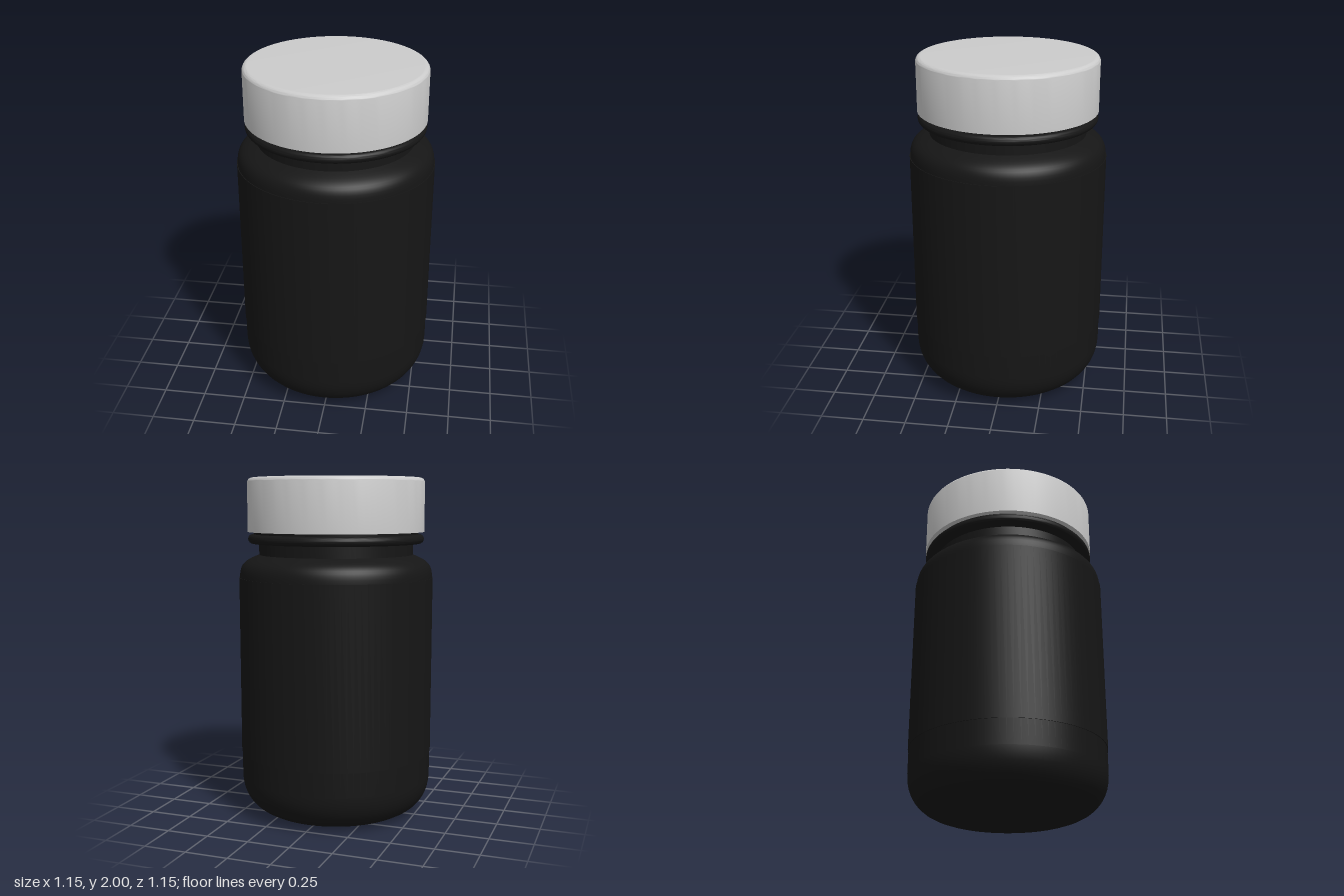
import * as THREE from 'three';
import { toCreasedNormals } from 'three/addons/utils/BufferGeometryUtils.js';

const SEGMENTS = 96;

// Revolve a profile path, keeping its corners crisp and its curves smooth
function revolve(name, path, material) {
  const lathe = new THREE.LatheGeometry(path.getPoints(10), SEGMENTS);
  const mesh = new THREE.Mesh(toCreasedNormals(lathe, 0.5), material);
  mesh.name = name;
  return mesh;
}

export function createModel() {
  const dark = new THREE.MeshStandardMaterial({ color: 0x161616 });
  const grey = new THREE.MeshStandardMaterial({ color: 0xcccccc });
  const jar = new THREE.Group();
  jar.name = 'jar';

  // Body: flat base, broad bottom curve, straight wall, rounded shoulder
  const body = new THREE.Path();
  body.moveTo(0, 0);
  body.lineTo(0.33, 0);
  body.bezierCurveTo(0.48, 0, 0.57, 0.09, 0.57, 0.23);
  body.lineTo(0.57, 1.42);
  body.bezierCurveTo(0.57, 1.5, 0.54, 1.52, 0.455, 1.553);
  jar.add(revolve('body', body, dark));

  // Label sleeve: a thin raised band around the wall
  const sleeve = new THREE.Path();
  sleeve.moveTo(0.569, 0.375);
  sleeve.lineTo(0.574, 0.375);
  sleeve.lineTo(0.574, 1.42);
  sleeve.lineTo(0.569, 1.42);
  jar.add(revolve('labelSleeve', sleeve, dark));

  // Neck, running up inside the lid
  const neck = new THREE.Path();
  neck.moveTo(0.455, 1.55);
  neck.lineTo(0.455, 1.64);
  neck.lineTo(0.485, 1.65);
  neck.lineTo(0.485, 1.71);
  jar.add(revolve('neck', neck, dark));

  // Rounded collar ring below the lid
  const collar = new THREE.Path();
  collar.moveTo(0.45, 1.619);
  collar.lineTo(0.492, 1.619);
  collar.absarc(0.492, 1.646, 0.027, -Math.PI / 2, Math.PI / 2, false);
  collar.lineTo(0.45, 1.673);
  jar.add(revolve('collar', collar, dark));

  // Lid with a softened top edge and closed underside
  const lid = new THREE.Path();
  lid.moveTo(0, 1.7);
  lid.lineTo(0.49, 1.7);
  lid.lineTo(0.49, 1.687);
  lid.lineTo(0.521, 1.687);
  lid.lineTo(0.521, 1.97);
  lid.absarc(0.491, 1.97, 0.03, 0, Math.PI / 2, false);
  lid.lineTo(0, 2);
  jar.add(revolve('lid', lid, grey));

  return jar;
}
